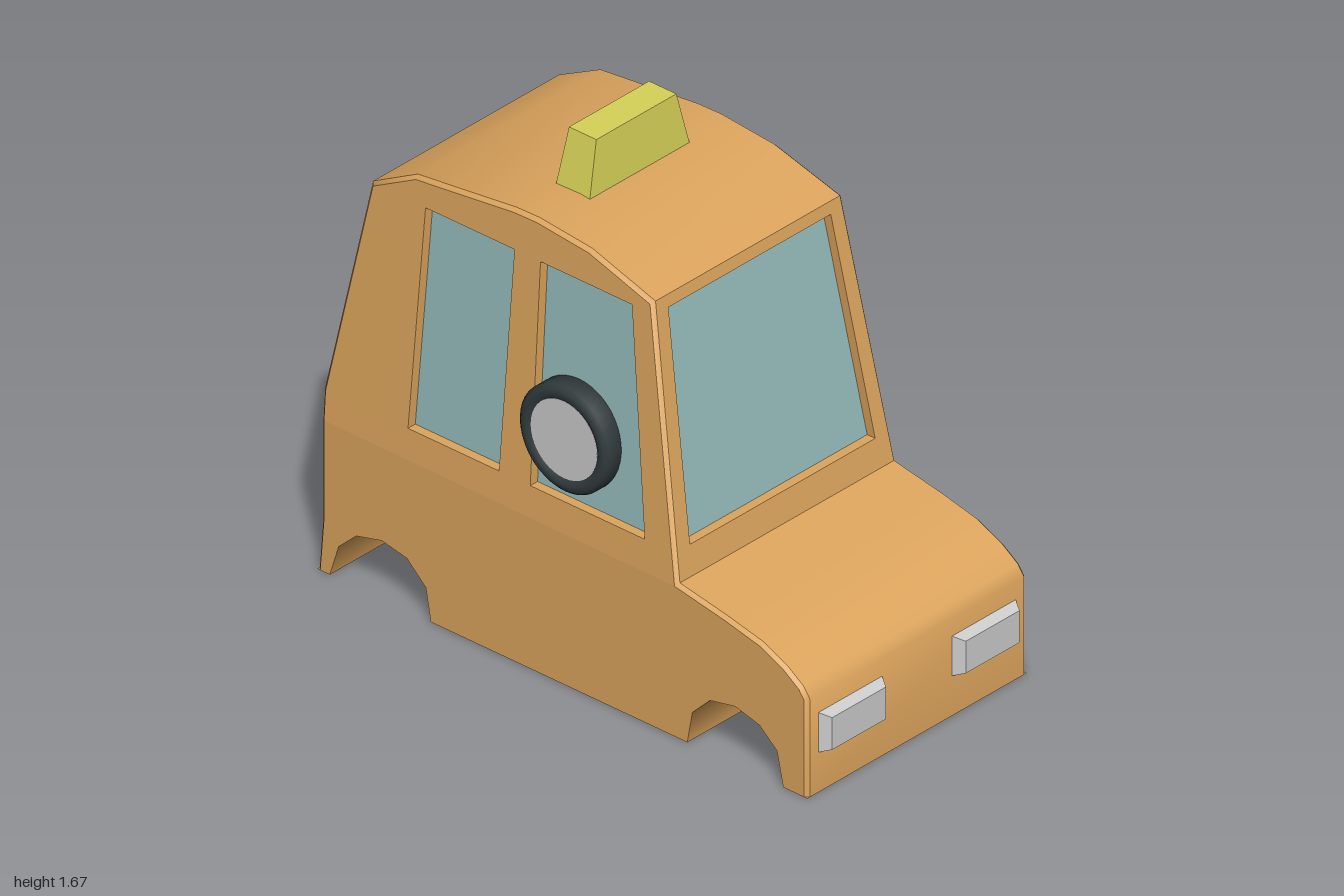
import * as THREE from 'three';
import { toCreasedNormals } from 'three/addons/utils/BufferGeometryUtils.js';

const BEVEL = 0.012;
const RECESS = 0.032;

// Upper outline of the body as [z, y], from front bumper over the roof to the rear bumper
const profile = [
  [0.965, 0], [0.965, 0.335], [0.94, 0.37], [0.875, 0.415], [0.78, 0.458], [0.64, 0.49], [0.45, 0.525],
  [0.295, 1.4], [0.04, 1.475], [-0.17, 1.495], [-0.26, 1.493], [-0.65, 1.45], [-0.82, 1.36],
  [-0.96, 0.62], [-0.96, 0.52], [-0.96, 0.18], [-0.975, 0],
];
const COWL = 6, ROOF_FRONT = 7, ROOF_REAR = 12, REAR_WAIST = 13, SPLIT = 14;

// Lower outline with both wheel arches, rear to front
const underside = [
  [-0.925, 0], [-0.89, 0.11], [-0.82, 0.175], [-0.72, 0.2], [-0.62, 0.18], [-0.545, 0.11], [-0.525, 0],
  [0.49, 0], [0.51, 0.11], [0.58, 0.18], [0.68, 0.2], [0.775, 0.175], [0.845, 0.115], [0.87, 0],
];

// Half width of the body: straight below, leaning inwards above the waist
const halfWidth = (y) => 0.48 - Math.max(0, y - 0.525) * 0.074;

// Outline moved inwards by the bevel
function insetOutline(points) {
  const normals = points.slice(1).map(([z, y], i) => {
    const dz = z - points[i][0], dy = y - points[i][1], l = Math.hypot(dz, dy);
    return [dy / l, -dz / l];
  });
  return points.map(([z, y], i) => {
    const a = normals[Math.max(0, i - 1)];
    const b = normals[Math.min(normals.length - 1, i)];
    const k = BEVEL / (1 + a[0] * b[0] + a[1] * b[1]);
    return [z - k * (a[0] + b[0]), Math.max(0, y - k * (a[1] + b[1]))];
  });
}

// Surface between two rails of 3D points
function ribbon(a, b, closed = false) {
  const pos = [];
  const count = closed ? a.length : a.length - 1;
  for (let i = 0; i < count; i++) {
    const j = (i + 1) % a.length;
    pos.push(...a[i], ...b[i], ...b[j], ...a[i], ...b[j], ...a[j]);
  }
  const g = new THREE.BufferGeometry();
  g.setAttribute('position', new THREE.Float32BufferAttribute(pos, 3));
  g.computeVertexNormals();
  return toCreasedNormals(g, 0.9);
}

// Flat panel with holes, its 2D points placed in space by a rule
function panel(outline, holes, place) {
  const toVectors = (pts) => pts.map(([u, v]) => new THREE.Vector2(u, v));
  const shape = new THREE.Shape(toVectors(outline));
  for (const h of holes) shape.holes.push(new THREE.Path(toVectors(h)));
  const g = new THREE.ShapeGeometry(shape);
  const p = g.attributes.position;
  for (let i = 0; i < p.count; i++) p.setXYZ(i, ...place([p.getX(i), p.getY(i)], 0));
  g.computeVertexNormals();
  return g;
}

// Block along y whose top is narrowed
function taperedBlock(w, h, d, topW, topD) {
  const g = new THREE.BoxGeometry(w, h, d);
  const p = g.attributes.position;
  for (let i = 0; i < p.count; i++) {
    if (p.getY(i) > 0) p.setXYZ(i, p.getX(i) * topW / w, h / 2, p.getZ(i) * topD / d);
  }
  g.computeVertexNormals();
  return g;
}

export function createModel() {
  const model = new THREE.Group();
  model.name = 'taxi';
  const material = (name, color, side = THREE.FrontSide) => {
    const m = new THREE.MeshStandardMaterial({ color, side });
    m.name = name;
    return m;
  };
  const paint = material('orangePaint', 0xdda55d, THREE.DoubleSide);
  const glass = material('paleBlueGlass', 0x94bab9, THREE.DoubleSide);
  const yellow = material('signYellow', 0xd6d258);
  const silver = material('lightGrey', 0xcccccc);
  const rubber = material('darkRubber', 0x323c3e);

  const add = (name, geometry, mat, parent = model) => {
    const mesh = new THREE.Mesh(geometry, mat);
    mesh.name = name;
    parent.add(mesh);
    return mesh;
  };

  const body = new THREE.Group();
  body.name = 'body';
  model.add(body);

  // Skin across the car: bonnet, roof, tail and underside
  const rail = (pts, side, inset) => pts.map(([z, y]) => [side * (halfWidth(y) - inset), y, z]);
  const skin = (name, pts, inset) => add(name, ribbon(rail(pts, -1, inset), rail(pts, 1, inset)), paint, body);
  skin('bonnet', profile.slice(0, COWL + 1), BEVEL);
  skin('roof', profile.slice(ROOF_FRONT, ROOF_REAR + 1), BEVEL);
  skin('tail', profile.slice(REAR_WAIST), BEVEL);
  skin('underside', [profile.at(-1), ...underside, profile[0]], 0);

  // Panel with recessed windows; place(point, depth) puts it in space
  const windowPanel = (name, outline, windows, place) => {
    add(name + 'Panel', panel(outline, windows, place), paint, body);
    for (const w of windows) {
      const outer = w.map((q) => place(q, 0));
      const inner = w.map((q) => place(q, RECESS));
      add(name + 'WindowFrame', ribbon(outer, inner, true), paint, body);
      add(name + 'Glass', panel(w, [], (q) => place(q, RECESS)), glass, body);
    }
  };

  // Windscreen and rear window
  const crossPanel = (name, low, high, windowPts, inward) => {
    const edge = ([, y], s) => [s * (halfWidth(y) - BEVEL), y];
    const place = ([x, y], depth) => {
      const t = (y - low[1]) / (high[1] - low[1]);
      return [x, y, low[0] + t * (high[0] - low[0]) + inward * depth];
    };
    windowPanel(name, [edge(low, -1), edge(low, 1), edge(high, 1), edge(high, -1)], [windowPts], place);
  };
  crossPanel('windscreen', profile[COWL], profile[ROOF_FRONT],
    [[-0.405, 0.622], [0.405, 0.622], [0.355, 1.36], [-0.355, 1.36]], -1);
  crossPanel('rear', profile[REAR_WAIST], profile[ROOF_REAR],
    [[-0.4, 0.64], [0.4, 0.64], [0.355, 1.33], [-0.355, 1.33]], 1);

  // Sides with their windows and bevelled edges
  const inset = insetOutline(profile);
  const sideWindows = [
    [[0.315, 0.622], [0.215, 1.362], [-0.147, 1.362], [-0.138, 0.622]],
    [[-0.262, 0.622], [-0.25, 1.362], [-0.602, 1.362], [-0.622, 0.622]],
  ];
  const lower = [...inset.slice(0, COWL + 1), ...inset.slice(SPLIT), ...underside];
  const upper = inset.slice(COWL, SPLIT + 1);
  for (const s of [-1, 1]) {
    const name = s > 0 ? 'left' : 'right';
    const place = ([z, y], depth) => [s * (halfWidth(y) - depth), y, z];
    add(name + 'LowerSide', panel(lower, [], place), paint, body);
    windowPanel(name + 'Side', upper, sideWindows, place);
    const rails = [rail(inset, s, 0), rail(profile, s, BEVEL)];
    if (s > 0) rails.reverse();
    add(name + 'EdgeBevel', ribbon(...rails), paint, body);
  }

  // Roof sign
  add('roofSign', taperedBlock(0.44, 0.19, 0.135, 0.35, 0.108), yellow).position.set(0, 1.577, -0.2);

  for (const s of [-1, 1]) {
    // Head and tail lights
    const head = add('headlight', taperedBlock(0.285, 0.04, 0.14, 0.235, 0.11), silver);
    head.rotation.x = Math.PI / 2;
    head.position.set(s * 0.292, 0.205, 0.98);
    const tail = add('tailLight', taperedBlock(0.27, 0.04, 0.135, 0.225, 0.105), silver);
    tail.rotation.x = -Math.PI / 2;
    tail.position.set(s * 0.292, 0.303, -0.977);

    // Wheel set against the side
    const wheel = new THREE.Group();
    wheel.name = s > 0 ? 'leftWheel' : 'rightWheel';
    wheel.position.set(s * 0.4, 0.838, 0);
    wheel.rotation.z = -s * Math.PI / 2;
    model.add(wheel);
    const section = [[0.13, 0], [0.179, 0], [0.179, 0.073], [0.165, 0.085], [0.145, 0.086], [0.13, 0.076]];
    add('tyre', new THREE.LatheGeometry(section.map(([r, h]) => new THREE.Vector2(r, h)), 40), rubber, wheel);
    add('hub', new THREE.CylinderGeometry(0.132, 0.132, 0.078, 40), silver, wheel).position.y = 0.039;
  }
  return model;
}
